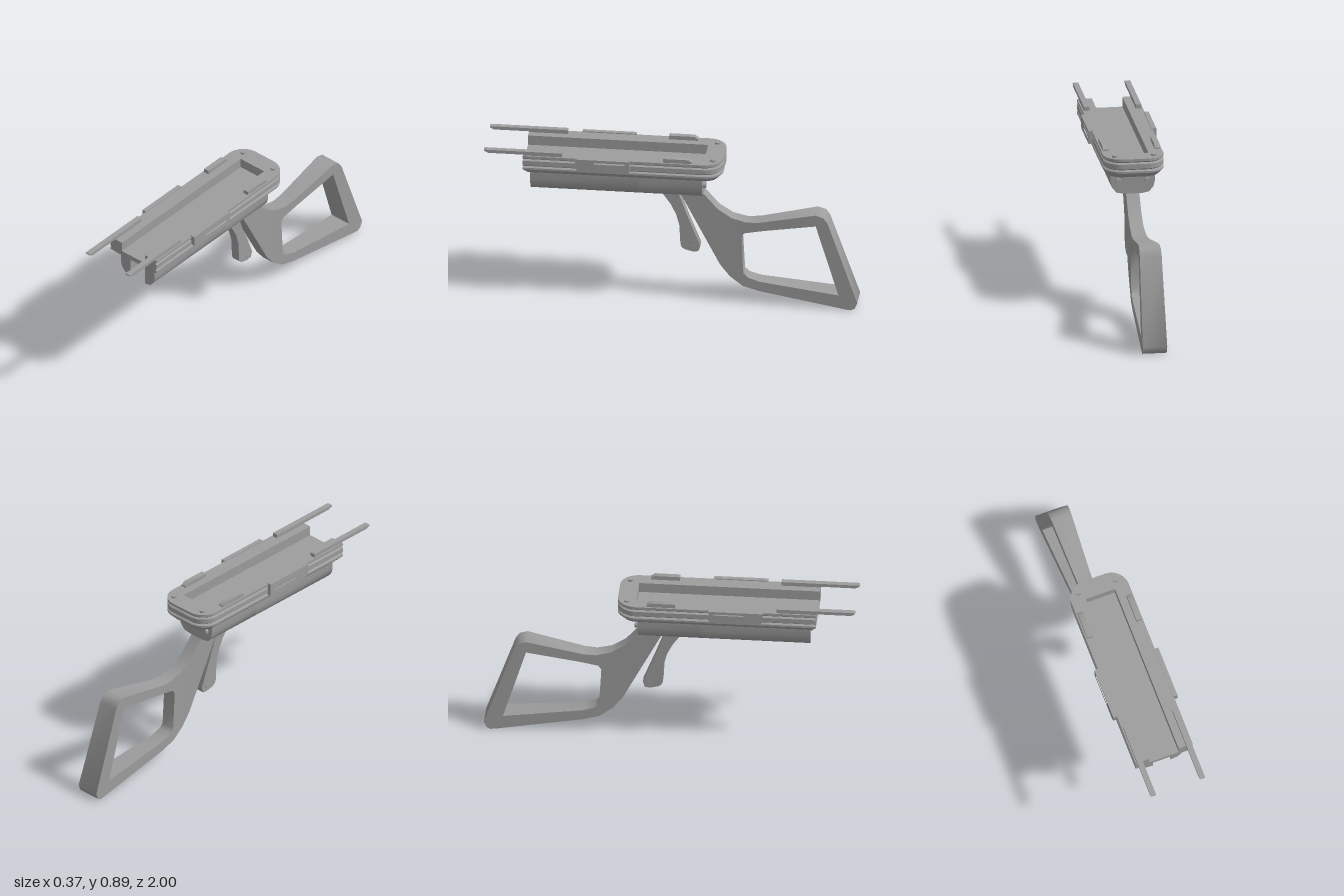
import * as THREE from 'three';
import { toCreasedNormals } from 'three/addons/utils/BufferGeometryUtils.js';

const material = new THREE.MeshStandardMaterial({ color: 0x9d9d9d });
const polygon = (points) => new THREE.Shape(points.map(([a, b]) => new THREE.Vector2(a, b)));
const extrude = (shape, depth) =>
  new THREE.ExtrudeGeometry(shape, { depth, bevelEnabled: false, curveSegments: 10 });

// Side profile in (z, y), extruded symmetrically across x
function sideProfile(points, width, hole) {
  const shape = polygon(points);
  if (hole) shape.holes.push(polygon(hole));
  return extrude(shape, width).translate(0, 0, -width / 2).rotateY(-Math.PI / 2);
}

const FRONT = 0.79, BACK = 0.28, HALF = 0.163, RADIUS = 0.1;

// Tray outline seen from above: square front, rounded back, optional open recess
function trayShape(recessed) {
  const x = HALF - RADIUS, y = BACK - RADIUS;
  const s = new THREE.Shape();
  s.moveTo(HALF, -FRONT);
  s.lineTo(HALF, y);
  s.absarc(x, y, RADIUS, 0, Math.PI / 2);
  s.absarc(-x, y, RADIUS, Math.PI / 2, Math.PI);
  s.lineTo(-HALF, -FRONT);
  if (recessed) {
    s.lineTo(-0.083, -FRONT);
    s.lineTo(-0.083, 0.18);
    s.lineTo(0.083, 0.18);
    s.lineTo(0.083, -FRONT);
  }
  s.closePath();
  return s;
}

// Tray layer whose outer wall is inset by a different amount at its bottom and top
function trayLayer(y0, inset0, y1, inset1, recessed, frontInset = 0) {
  const geometry = extrude(trayShape(recessed), y1 - y0).rotateX(-Math.PI / 2).translate(0, y0, 0);
  const p = geometry.attributes.position;
  for (let i = 0; i < p.count; i++) {
    const x = p.getX(i), z = p.getZ(i);
    const bottom = p.getY(i) < (y0 + y1) / 2;
    const coreX = THREE.MathUtils.clamp(x, RADIUS - HALF, HALF - RADIUS);
    const coreZ = Math.max(z, RADIUS - BACK);
    const k = 1 - (bottom ? inset0 : inset1) / RADIUS;
    const recessWall = Math.abs(x) < 0.084 && z > -0.181;
    if (!recessWall) {
      p.setX(i, coreX + (x - coreX) * k);
      p.setZ(i, coreZ + (z - coreZ) * k);
    }
    if (bottom && z > FRONT - 0.001) p.setZ(i, FRONT - frontInset);
  }
  return geometry;
}

export function createModel() {
  const model = new THREE.Group();
  const add = (name, geometry, x = 0, y = 0, z = 0) => {
    const mesh = new THREE.Mesh(toCreasedNormals(geometry, 0.75), material);
    mesh.name = name;
    mesh.position.set(x, y, z);
    model.add(mesh);
  };

  // Tray: chamfered underside, then walls with two V grooves and a recess open to the front
  add('trayUnderside', trayLayer(0.762, 0.028, 0.79, 0, false, 0.025));
  const rows = [
    [0.79, 0], [0.8, 0], [0.8075, 0.009], [0.815, 0], [0.841, 0], [0.8485, 0.009], [0.856, 0], [0.87, 0],
  ];
  for (let i = 1; i < rows.length; i++) {
    add('trayLayer' + i, trayLayer(...rows[i - 1], ...rows[i], i > 3));
  }

  // Rounded lower body: channelled front, solid rear
  const side = [[0.05, 0.642], [0.088, 0.65], [0.112, 0.678], [0.12, 0.712], [0.12, 0.766]];
  const mirrored = side.map(([x, y]) => [-x, y]).reverse();
  add('lowerBodyRear', extrude(polygon([...side, ...mirrored]), 0.34), 0, 0, -0.17);
  for (const s of [1, -1]) {
    const half = s > 0 ? [...side, [0.05, 0.766]] : [[-0.05, 0.766], ...mirrored];
    add(s > 0 ? 'leftBodyRail' : 'rightBodyRail', extrude(polygon(half), 0.585), 0, 0, 0.17);
  }

  // Open-frame stock, widening towards the back
  const stock = sideProfile([
    [-0.03, 0.66], [-0.04, 0.64], [-0.257, 0.22], [-0.31, 0.152], [-0.38, 0.099], [-0.47, 0.075],
    [-0.94, 0.002], [-0.965, 0], [-0.985, 0.01], [-1, 0.045], [-0.84, 0.505], [-0.818, 0.537],
    [-0.775, 0.551], [-0.47, 0.484], [-0.4, 0.479], [-0.32, 0.5], [-0.246, 0.548], [-0.166, 0.64],
    [-0.15, 0.66],
  ], 2, [
    [-0.372, 0.39], [-0.388, 0.414], [-0.49, 0.436], [-0.775, 0.486], [-0.898, 0.083],
    [-0.47, 0.131], [-0.406, 0.152], [-0.384, 0.174], [-0.378, 0.28],
  ]);
  const q = stock.attributes.position;
  for (let i = 0; i < q.count; i++) {
    const back = Math.max(0, -q.getZ(i) - 0.3) / 0.7;
    q.setX(i, q.getX(i) * (0.036 + 0.03 * back));
  }
  add('stock', stock);

  // Trigger lever with its pin
  add('trigger', sideProfile([
    [0.09, 0.66], [0.07, 0.645], [0.01, 0.56], [-0.02, 0.5], [-0.037, 0.436], [-0.043, 0.324],
    [-0.049, 0.307], [-0.064, 0.294], [-0.112, 0.282], [-0.14, 0.286], [-0.15, 0.318],
    [-0.086, 0.48], [-0.02, 0.66],
  ], 0.05));
  add('triggerPin', new THREE.CylinderGeometry(0.014, 0.014, 0.056, 16).rotateZ(Math.PI / 2),
    0, 0.312, -0.112);

  // Paired fittings on both sides
  for (const s of [1, -1]) {
    const label = s > 0 ? 'left' : 'right';
    add(label + 'Clip', sideProfile(
      [[0.505, 0.875], [0.505, 0.83], [0.497, 0.812], [0.48, 0.803], [0.215, 0.803], [0.215, 0.875]],
      0.025, [[0.405, 0.86], [0.405, 0.828], [0.24, 0.828], [0.24, 0.86]]), s * 0.1705);
    add(label + 'RearSight', sideProfile(
      [[0.035, 0.868], [0.035, 0.892], [-0.1, 0.892], [-0.12, 0.878], [-0.12, 0.868]], 0.03), s * 0.14);
    add(label + 'FrontRail', sideProfile([
      [0.58, 0.868], [0.79, 0.868], [0.79, 0.874], [0.978, 0.874], [1, 0.885], [1, 0.892], [0.58, 0.892],
    ], 0.03), s * 0.14);
    add(label + 'TopPin', new THREE.CylinderGeometry(0.015, 0.015, 0.02, 16), s * 0.106, 0.87, -0.228);
    add(label + 'RearBolt', new THREE.CylinderGeometry(0.018, 0.018, 0.03, 16).rotateX(Math.PI / 2),
      s * 0.078, 0.712, -0.173);
  }
  return model;
}
